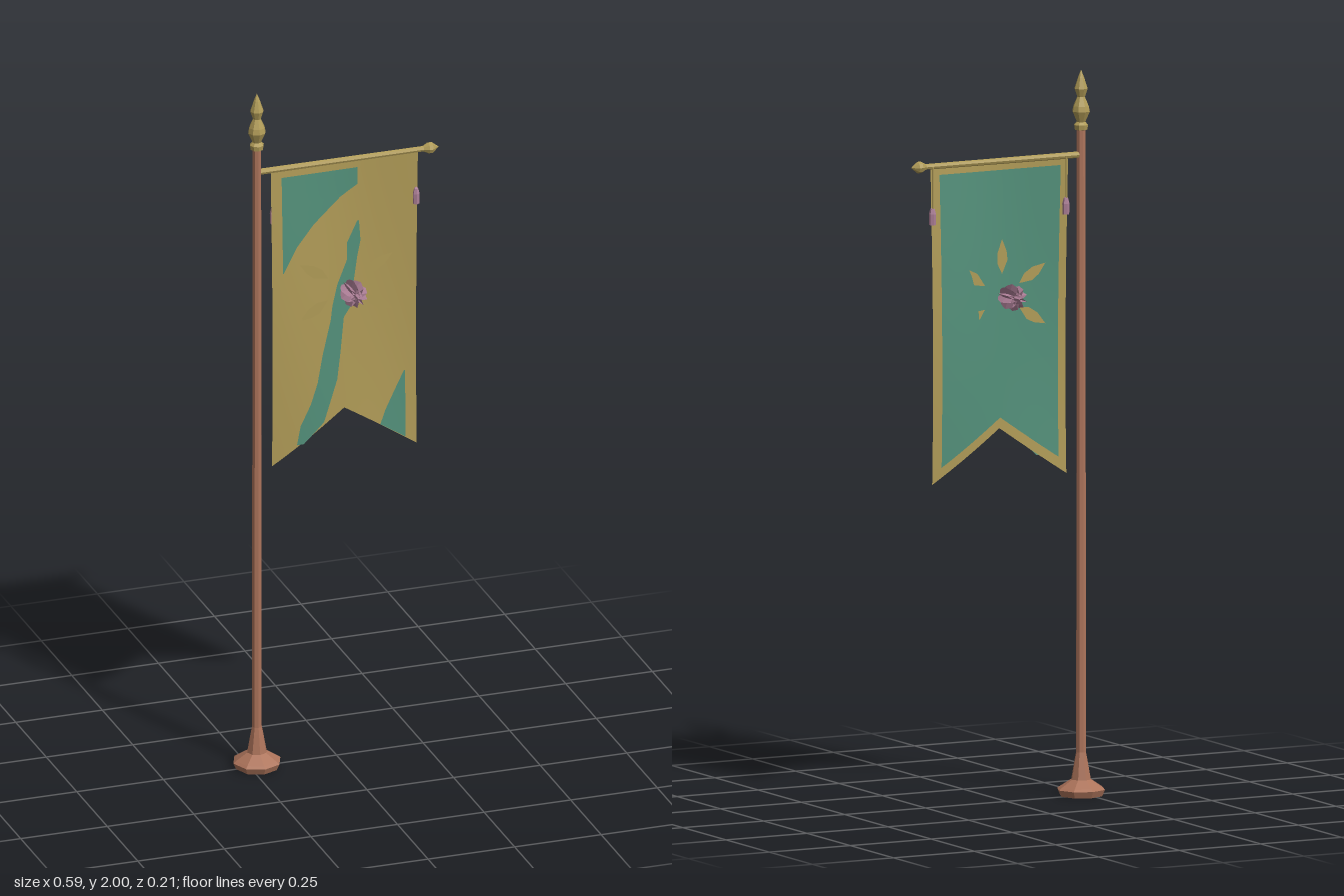
import * as THREE from 'three';

const mat = (name, color, side = THREE.FrontSide) => {
  const m = new THREE.MeshStandardMaterial({ color });
  m.name = name;
  m.side = side;
  return m;
};
const POLE_X = -0.23, MID_X = 0.0225, TOP = 1.762;

export function createModel() {
  const wood = mat('copper wood', 0xad745b);
  const gold = mat('antique gold', 0xb09b57, THREE.DoubleSide);
  const teal = mat('teal cloth', 0x53907a, THREE.DoubleSide);
  const pink = mat('dusty pink', 0xae8098, THREE.DoubleSide);
  const group = new THREE.Group();
  group.name = 'bannerOnPole';

  const add = (name, geo, material, x = 0, y = 0, z = 0) => {
    const mesh = new THREE.Mesh(geo, material);
    mesh.name = name;
    mesh.position.set(x, y, z);
    group.add(mesh);
    return mesh;
  };
  // Faceted turned part from [radius, height] pairs
  const turned = (points, sides = 8) => {
    const g = new THREE.LatheGeometry(points.map(p => new THREE.Vector2(...p)), sides).toNonIndexed();
    g.computeVertexNormals();
    return g;
  };
  // Grid surface, with fn(u, v) returning [x, y, z]
  const surface = (nu, nv, fn) => {
    const g = new THREE.PlaneGeometry(1, 1, nu, nv);
    const p = g.attributes.position;
    for (let i = 0; i < p.count; i++) {
      p.setXYZ(i, ...fn(p.getX(i) + 0.5, 0.5 - p.getY(i)));
    }
    g.computeVertexNormals();
    return g;
  };

  // Pole, foot and spear finial
  add('pole', turned([[0, 0], [0.06, 0], [0.068, 0.018], [0.06, 0.024], [0.028, 0.045],
    [0.018, 0.1], [0.014, 0.12], [0.0125, 1.84], [0, 1.84]]), wood, POLE_X);
  add('finial', turned([[0, 1.83], [0.018, 1.835], [0.02, 1.848], [0.012, 1.856], [0.025, 1.885],
    [0.022, 1.9], [0.011, 1.925], [0.019, 1.948], [0.009, 1.978], [0, 2]]), gold, POLE_X);

  // Crossbar with a pointed knob
  const bar = add('crossbar', turned([[0, 0], [0.009, 0], [0.008, 0.48], [0.016, 0.495],
    [0.016, 0.505], [0, 0.525]]), gold, POLE_X, 1.766);
  bar.rotation.z = -Math.PI / 2;

  // Swallow-tailed cloth, hanging in a soft wave
  const hem = x => 1.03 - 0.14 * Math.abs(x - MID_X) / 0.2125;
  const wave = (x, y) => {
    const t = (TOP - y) / 0.87;
    return -0.018 * Math.sin((x - 0.02) * 10) * Math.sin(2.4 * t);
  };
  const hanging = (x0, x1, top, lift, offset) => surface(24, 28, (u, v) => {
    const x = x0 + (x1 - x0) * u;
    const y = top + (hem(x) + lift - top) * v;
    return [x, y, wave(x, y) + offset];
  });
  add('clothGold', hanging(-0.19, 0.235, TOP, 0, 0), gold);
  add('clothBackPanel', hanging(-0.165, 0.21, 1.742, 0.03, -0.005), teal);

  // Teal areas on the front, each given by rows of [y, left, right]
  const patches = {
    upperPatch: [[1.74, -0.16, 0.06], [1.69, -0.16, 0.06], [1.66, -0.16, 0.01],
      [1.59, -0.16, -0.07], [1.53, -0.16, -0.12], [1.46, -0.16, -0.158]],
    middleStreak: [[1.58, 0.06, 0.065], [1.52, 0.03, 0.07], [1.47, 0.03, 0.06], [1.4, 0, 0.05],
      [1.34, -0.015, 0.05], [1.3, -0.02, 0.02], [1.2, -0.045, 0.01], [1.12, -0.06, 0],
      [1.06, -0.08, -0.02], [1, -0.11, -0.04], [0.945, -0.12, -0.1]],
    cornerPatch: [[1.11, 0.2, 0.203], [1.05, 0.17, 0.203], [1, 0.145, 0.203],
      [0.96, 0.13, 0.203], [0.915, 0.2, 0.203]],
  };
  for (const [name, rows] of Object.entries(patches)) {
    const n = rows.length - 1;
    add(name, surface(8, n * 3, (u, v) => {
      const i = Math.min(Math.floor(v * n + 1e-6), n - 1), f = v * n - i;
      const [y, l, r] = rows[i].map((a, k) => a + (rows[i + 1][k] - a) * f);
      const x = l + (r - l) * u;
      return [x, y, wave(x, y) + 0.003];
    }), teal);
  }

  // Pleated blossom with diamond leaves on each face
  const leaf = new THREE.Shape([[0.062, 0], [0.1, 0.017], [0.125, 0.014], [0.158, 0],
    [0.12, -0.014], [0.09, -0.014]].map(p => new THREE.Vector2(...p)));
  const profile = [[0.004, 0.01], [0.016, 0.02], [0.029, 0.045], [0.037, 0.075], [0.03, 0.107]];
  const blossom = surface(20, profile.length - 1, (u, v) => {
    const [r, z] = profile[Math.round(v * (profile.length - 1))];
    const k = Math.round(u * 20), a = k * Math.PI / 10;
    const s = k % 2 ? r * 0.5 : r;
    return [s * Math.sin(a), s * Math.cos(a), z];
  }).toNonIndexed();
  blossom.computeVertexNormals();
  for (const side of [1, -1]) {
    const label = side > 0 ? 'front' : 'back';
    const flower = add(label + 'Blossom', blossom, pink, MID_X, 1.4);
    if (side < 0) flower.rotation.y = Math.PI;
    // Inner petals
    const core = add(label + 'BlossomCore', blossom, pink, MID_X, 1.4);
    core.scale.set(0.5, 0.5, 0.96);
    core.rotation.set(0, side < 0 ? Math.PI : 0, Math.PI / 10);
    const angles = side > 0 ? [32, 148, 212, 328] : [32, 90, 148, 212, 328];
    for (const deg of angles) {
      const plate = add(label + 'Leaf', new THREE.ShapeGeometry(leaf), gold, MID_X, 1.395, side * 0.016);
      plate.rotation.z = deg * Math.PI / 180;
    }
  }

  // Tassels on thin cords at both edges
  for (const x of [-0.181, 0.231]) {
    add('tasselCord', new THREE.CylinderGeometry(0.0025, 0.0025, 0.12, 5), gold, x, 1.705, -0.007);
    add('tassel', turned([[0, 0], [0.009, 0], [0.01, 0.03], [0.006, 0.045], [0, 0.05]], 6), pink, x, 1.605, -0.004);
  }
  return group;
}
